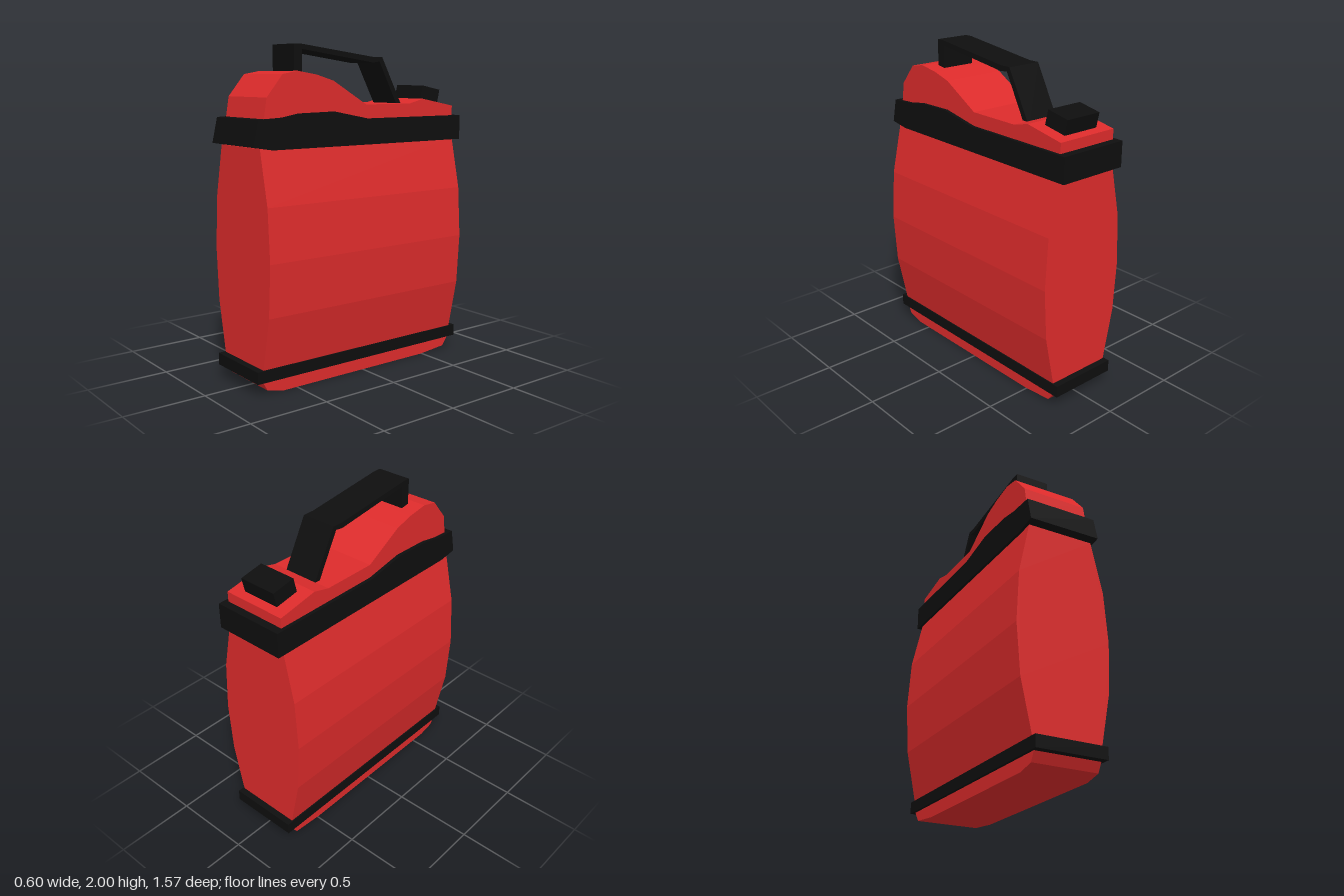
import * as THREE from 'three';

const red = new THREE.MeshStandardMaterial({ color: 0xdc2b2b, flatShading: true });
const black = new THREE.MeshStandardMaterial({ color: 0x0e0e0e, flatShading: true });

// Extrudes an outline symmetrically about the plane it is drawn in
function slab(name, points, depth, material) {
  const shape = new THREE.Shape(points.map(([a, b]) => new THREE.Vector2(a, b)));
  const geometry = new THREE.ExtrudeGeometry(shape, { depth, bevelEnabled: false });
  geometry.translate(0, 0, -depth / 2);
  const mesh = new THREE.Mesh(geometry, material);
  mesh.name = name;
  return mesh;
}

// Outline given as (z, y), extruded across the width
function sideSlab(name, points, width, material) {
  const mesh = slab(name, points, width, material);
  mesh.geometry.rotateY(-Math.PI / 2);
  return mesh;
}

export function createModel() {
  const can = new THREE.Group();
  can.name = 'fuelCan';

  // Bulging tank: half outline mirrored left to right
  const half = [[0.21, 0.13], [0.28, 0.47], [0.3, 0.785], [0.28, 1.1], [0.21, 1.42]];
  const mirrored = half.map(([x, y]) => [-x, y]).reverse();
  can.add(slab('tank', [...half, ...mirrored], 1.472, red));

  // Chamfered foot
  can.add(sideSlab('base', [
    [0.736, 0.14], [0.736, 0.08], [0.705, 0.025], [0.6, 0],
    [-0.49, 0], [-0.69, 0.018], [-0.736, 0.08], [-0.736, 0.14],
  ], 0.412, red));

  // Humped shoulder below the handle and cap
  can.add(sideSlab('shoulder', [
    [0.72, 1.42], [0.705, 1.58], [0.685, 1.7], [0.578, 1.828], [0.475, 1.846],
    [0.345, 1.825], [0.225, 1.79], [-0.02, 1.648], [-0.37, 1.648],
    [-0.48, 1.675], [-0.736, 1.627], [-0.736, 1.42],
  ], 0.412, red));

  // Bumper bands
  can.add(sideSlab('upperBand', [
    [0.787, 1.43], [0.753, 1.58], [0.59, 1.588], [0.475, 1.608], [0.23, 1.613],
    [-0.02, 1.565], [-0.787, 1.565], [-0.787, 1.41], [0.66, 1.41],
  ], 0.456, black));
  can.add(sideSlab('lowerBand', [
    [0.78, 0.08], [0.78, 0.153], [-0.777, 0.153], [-0.777, 0.08],
  ], 0.446, black));

  // Bent strap handle
  can.add(sideSlab('handle', [
    [0.437, 1.8], [0.437, 2], [0.385, 2], [-0.15, 1.932], [-0.222, 1.932],
    [-0.39, 1.62], [-0.352, 1.62], [-0.2, 1.905], [-0.15, 1.898],
    [0.38, 1.97], [0.38, 1.8],
  ], 0.222, black));

  // Tilted filler cap
  can.add(sideSlab('cap', [
    [-0.552, 1.757], [-0.702, 1.728], [-0.678, 1.62], [-0.526, 1.65],
  ], 0.246, black));

  return can;
}
